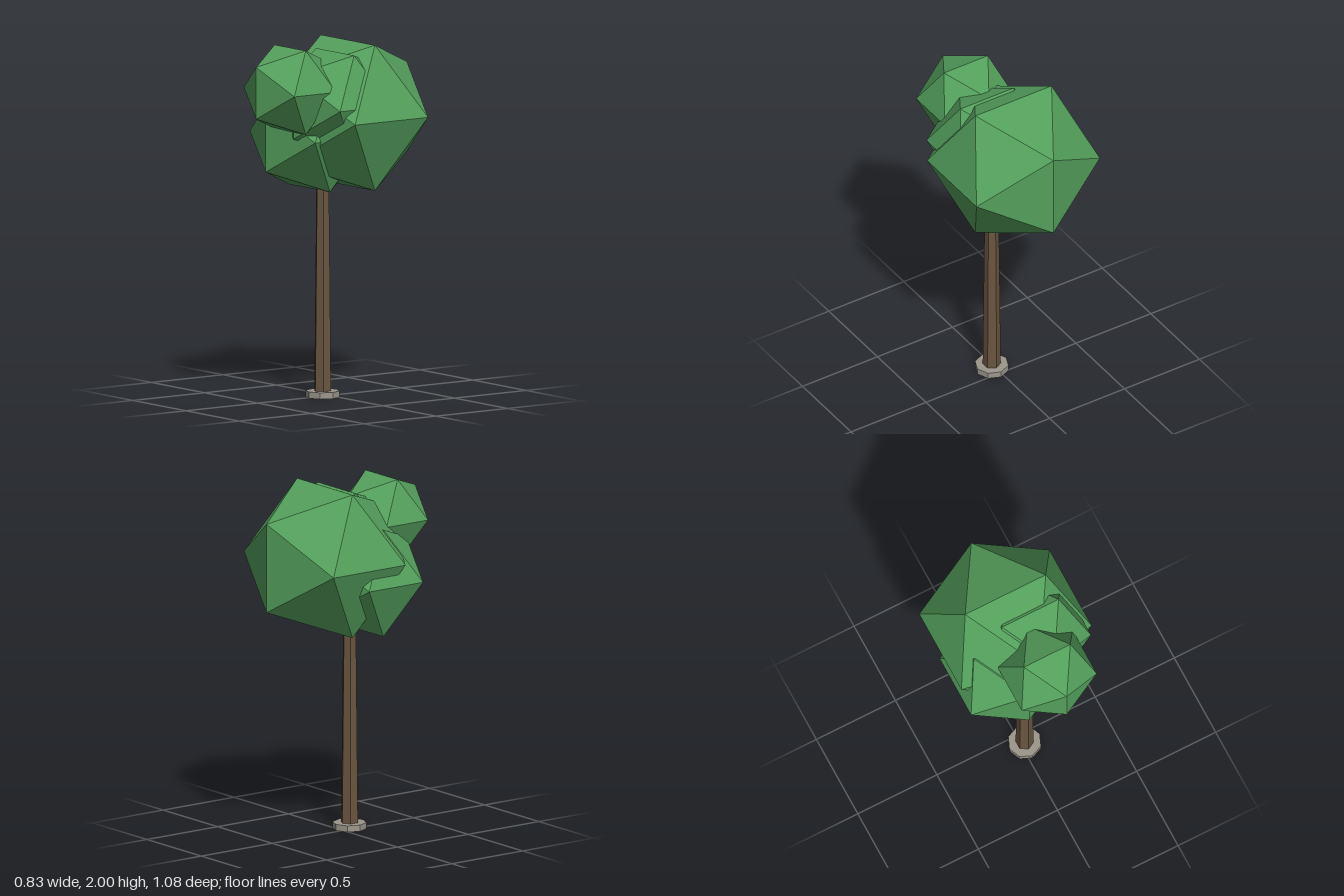
import * as THREE from 'three';

function material(name, color) {
  const m = new THREE.MeshStandardMaterial({ color, flatShading: true });
  m.name = name;
  return m;
}

export function createModel() {
  const tree = new THREE.Group();
  tree.name = 'tree';

  const leaf = material('leaf green', 0x54a05c);
  const bark = material('bark brown', 0x6b5641);
  const stone = material('stone grey', 0x9c978c);

  function add(name, geometry, mat, x, y, z) {
    const mesh = new THREE.Mesh(geometry, mat);
    mesh.name = name;
    mesh.position.set(x, y, z);
    tree.add(mesh);
  }

  // Octagonal foot and tapered six-sided trunk
  add('base', new THREE.CylinderGeometry(0.096, 0.096, 0.036, 8), stone, 0.021, 0.018, 0.063);
  add('trunk', new THREE.CylinderGeometry(0.037, 0.051, 1.349, 6), bark, 0.021, 0.6755, 0.063);

  // Canopy of overlapping faceted clumps: name, radius, centre
  const clumps = [
    ['mainFoliage', 0.484, 0, 1.588, -0.128],
    ['lowerRightFoliage', 0.361, -0.107, 1.472, 0.058],
    ['leftFoliage', 0.341, 0.079, 1.665, 0.02],
    ['frontFoliage', 0.279, 0.038, 1.76, 0.302],
  ];
  for (const [name, radius, x, y, z] of clumps) {
    add(name, new THREE.IcosahedronGeometry(radius, 0), leaf, x, y, z);
  }

  return tree;
}
